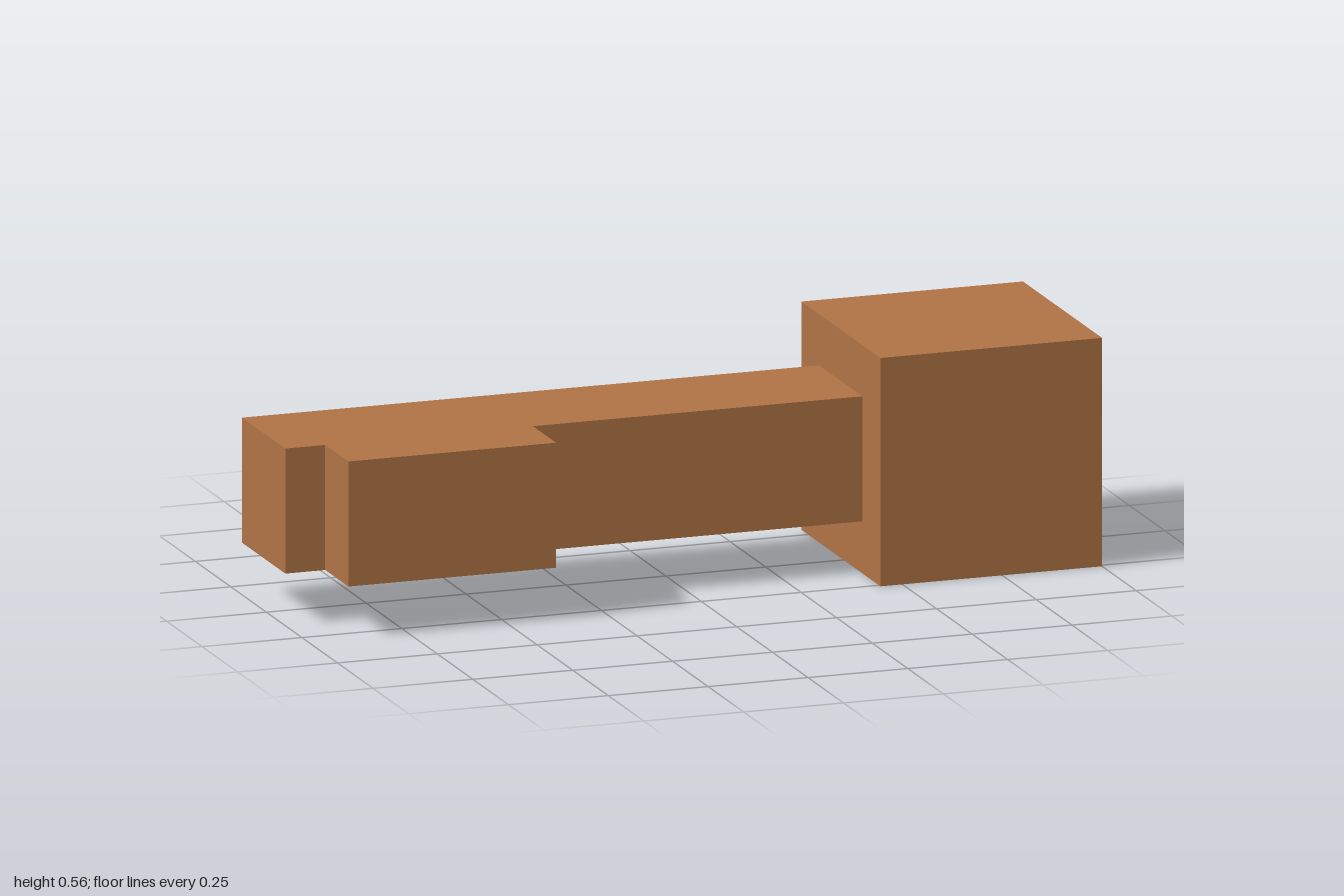
import * as THREE from 'three';

export function createModel() {
  const model = new THREE.Group();
  model.name = 'blockKey';
  const wood = new THREE.MeshStandardMaterial({ color: 0xb07345 });
  wood.name = 'warm brown';

  // Cubic head at the left end
  const head = new THREE.Mesh(new THREE.BoxGeometry(0.555, 0.557, 0.556), wood);
  head.name = 'head';
  head.position.set(0.7225, 0.2785, -0.018);
  model.add(head);

  // Shaft with its forward tooth: plan outline in x, z, extruded upwards
  const outline = [
    [-1, -0.172], [0.445, -0.172], [0.445, 0.133], [-0.38, 0.133],
    [-0.38, 0.296], [-0.9, 0.296], [-0.9, 0.133], [-1, 0.133],
  ];
  const plan = new THREE.Shape(outline.map(([x, z]) => new THREE.Vector2(x, -z)));
  const geometry = new THREE.ExtrudeGeometry(plan, { depth: 0.305, bevelEnabled: false });
  geometry.rotateX(-Math.PI / 2);
  const shaft = new THREE.Mesh(geometry, wood);
  shaft.name = 'shaftWithTooth';
  shaft.position.y = 0.127;
  model.add(shaft);

  return model;
}
